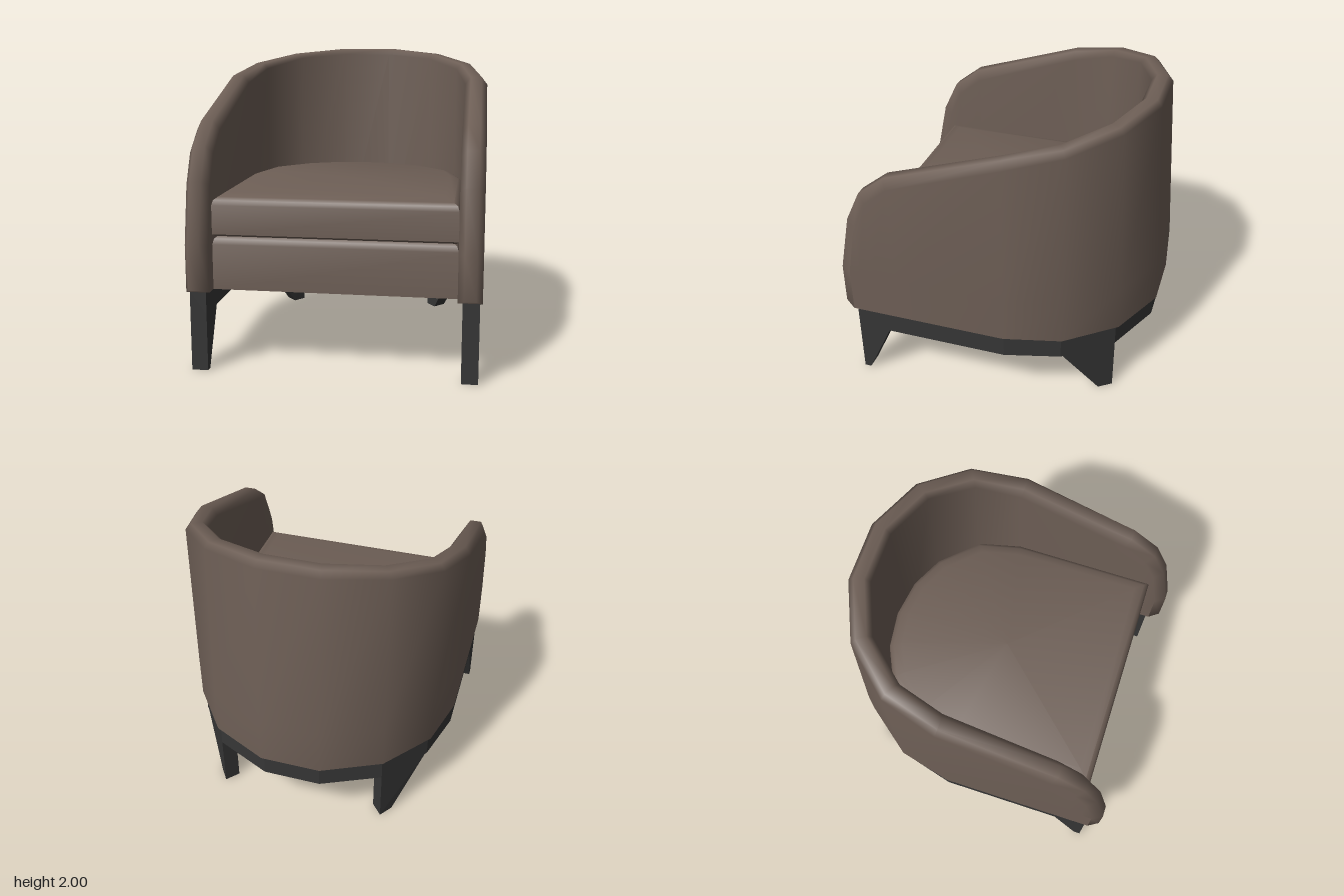
import * as THREE from 'three';
import { toCreasedNormals } from 'three/addons/utils/BufferGeometryUtils.js';
import { ConvexGeometry } from 'three/addons/geometries/ConvexGeometry.js';

const upholstery = new THREE.MeshStandardMaterial({ color: 0x6e5f56 });
upholstery.name = 'brown upholstery';
const darkWood = new THREE.MeshStandardMaterial({ color: 0x363636 });
darkWood.name = 'charcoal wood';

const BASE = 0.52; // underside of the upholstery

function toGeometry(points, index) {
  const g = new THREE.BufferGeometry();
  g.setAttribute('position', new THREE.Float32BufferAttribute(points.flat(), 3));
  g.setIndex(index);
  return g;
}

function addMesh(group, name, geometry, material) {
  const mesh = new THREE.Mesh(geometry, material);
  mesh.name = name;
  group.add(mesh);
}

// Mirrors a half outline of [x, z] points, front to back, into a full U
const mirrorOutline = (half) => [...half, ...half.filter(([x]) => x !== 0).reverse().map(([x, z]) => [-x, z])];

// Wrap-around arms and back: one rounded section swept along a U
function shellGeometry() {
  // Arm stations: rim z, rim y, shoulder z, shoulder y
  const arm = [
    [1.0, 0.55, 0.93, 0.52], [1.0, 0.83, 0.93, 0.82], [0.92, 1.22, 0.86, 1.19],
    [0.82, 1.43, 0.77, 1.38], [0.64, 1.57, 0.61, 1.51], [-0.12, 1.82, -0.13, 1.77],
  ].map(([rimZ, rimY, z, y]) => ({ foot: [0.92, z], out: [0.92, z], inn: [0.77, z], y, rimY, rimZ }));
  // Back stations: outer foot, outer shoulder (leaning in), inner face
  const back = [
    { foot: [0.83, -0.5], out: [0.825, -0.49], inn: [0.70, -0.42], y: 1.86, rimY: 1.90 },
    { foot: [0.58, -0.82], out: [0.57, -0.77], inn: [0.49, -0.66], y: 1.93, rimY: 1.965 },
    { foot: [0.20, -1.0], out: [0.20, -0.925], inn: [0.17, -0.79], y: 1.96, rimY: 2.0 },
  ];
  const section = ({ foot, out, inn, y, rimY, rimZ }) => {
    const rim = (t) => [
      out[0] + (inn[0] - out[0]) * t, rimY, rimZ ?? out[1] + (inn[1] - out[1]) * t,
    ];
    return [
      [foot[0], BASE, foot[1]], [foot[0], Math.min(0.83, y), foot[1]], [out[0], y, out[1]],
      rim(0.25), rim(0.75),
      [inn[0], y, inn[1]], [inn[0], BASE, inn[1]],
      [inn[0], BASE, inn[1]], [foot[0], BASE, foot[1]], // underside, with its own corners
    ];
  };
  const half = [...arm, ...back].map(section);
  const rows = [...half, ...[...half].reverse().map((s) => s.map(([x, y, z]) => [-x, y, z]))];
  const n = rows[0].length, index = [];
  for (let s = 0; s < rows.length - 1; s++) {
    for (let r = 0; r < n - 1; r++) {
      if (r === 6) continue;
      const a = s * n + r, b = a + n;
      index.push(a, b, b + 1, a, b + 1, a + 1);
    }
  }
  // Close the lower front tip of each arm
  const e = (rows.length - 1) * n;
  index.push(2, 3, 4, 2, 4, 5, e + 2, e + 4, e + 3, e + 2, e + 5, e + 4);
  const g = toGeometry(rows.flat(), index);
  g.computeVertexNormals();
  return g;
}

// Cushion: a U outline stacked in rings of [inset, y], capped by fans
function cushionGeometry(outline, rings) {
  const n = outline.length, points = [], index = [];
  for (const [d, y] of rings) {
    for (const [x, z] of outline) {
      points.push([x * (1 - d / 0.77), y, 0.03 + (z - 0.03) * (1 - d / 0.82)]);
    }
  }
  for (let k = 0; k < rings.length - 1; k++) {
    for (let i = 0; i < n; i++) {
      const a = k * n + i, b = k * n + (i + 1) % n;
      index.push(a, b, b + n, a, b + n, a + n);
    }
  }
  const bottom = points.length, top = bottom + 1, last = (rings.length - 1) * n;
  points.push([0, rings[0][1], 0.03], [0, rings.at(-1)[1], 0.03]);
  for (let i = 0; i < n; i++) {
    const j = (i + 1) % n;
    index.push(bottom, j, i, top, last + i, last + j);
  }
  return toCreasedNormals(toGeometry(points, index), 0.75);
}

// Straight-sided leg between a top and a bottom outline of [x, z] points
function legGeometry(top, topY, bottom, side) {
  const at = (list, y) => list.map(([x, z]) => new THREE.Vector3(x * side, y, z));
  return new ConvexGeometry([...at(top, topY), ...at(bottom, 0)]);
}

export function createModel() {
  const chair = new THREE.Group();
  chair.name = 'tubArmchair';

  addMesh(chair, 'armsAndBack', shellGeometry(), upholstery);

  // Seat base and loose cushion
  const seat = mirrorOutline([
    [0.77, 0.845], [0.77, -0.12], [0.70, -0.41], [0.47, -0.65], [0.25, -0.755], [0, -0.79],
  ]);
  addMesh(chair, 'seatBase', cushionGeometry(seat, [
    [0, BASE], [0, 0.81], [0.01, 0.845], [0.035, 0.865],
  ]), upholstery);
  addMesh(chair, 'seatCushion', cushionGeometry(seat, [
    [0.015, 0.862], [0, 0.875], [0, 1.06], [0.01, 1.092], [0.035, 1.11], [0.09, 1.13],
  ]), upholstery);

  // U-shaped wooden rail, open at the front
  const outer = mirrorOutline([[0.905, 0.91], [0.905, -0.13], [0.81, -0.49], [0.57, -0.80], [0.19, -0.975]]);
  const inner = mirrorOutline([[0.80, 0.91], [0.80, -0.11], [0.72, -0.43], [0.50, -0.72], [0.16, -0.875]]);
  const railShape = new THREE.Shape([...outer, ...inner.reverse()].map(([x, z]) => new THREE.Vector2(x, z)));
  const rail = new THREE.ExtrudeGeometry(railShape, { depth: 0.15, bevelEnabled: false });
  rail.rotateX(Math.PI / 2).translate(0, BASE, 0);
  addMesh(chair, 'baseRail', rail, darkWood);

  // Tapered legs; the rear pair follow the slanted rear corners
  for (const [side, label] of [[1, 'Left'], [-1, 'Right']]) {
    addMesh(chair, 'front' + label + 'Leg', legGeometry(
      [[0.905, 0.91], [0.80, 0.91], [0.80, 0.69], [0.905, 0.69]], 0.37,
      [[0.905, 0.91], [0.80, 0.91], [0.80, 0.865], [0.905, 0.865]], side), darkWood);
    addMesh(chair, 'rear' + label + 'Leg', legGeometry(
      [[0.57, -0.80], [0.50, -0.72], [0.715, -0.44], [0.80, -0.50]], 0.37,
      [[0.57, -0.80], [0.50, -0.72], [0.56, -0.64], [0.63, -0.715]], side), darkWood);
  }
  return chair;
}
